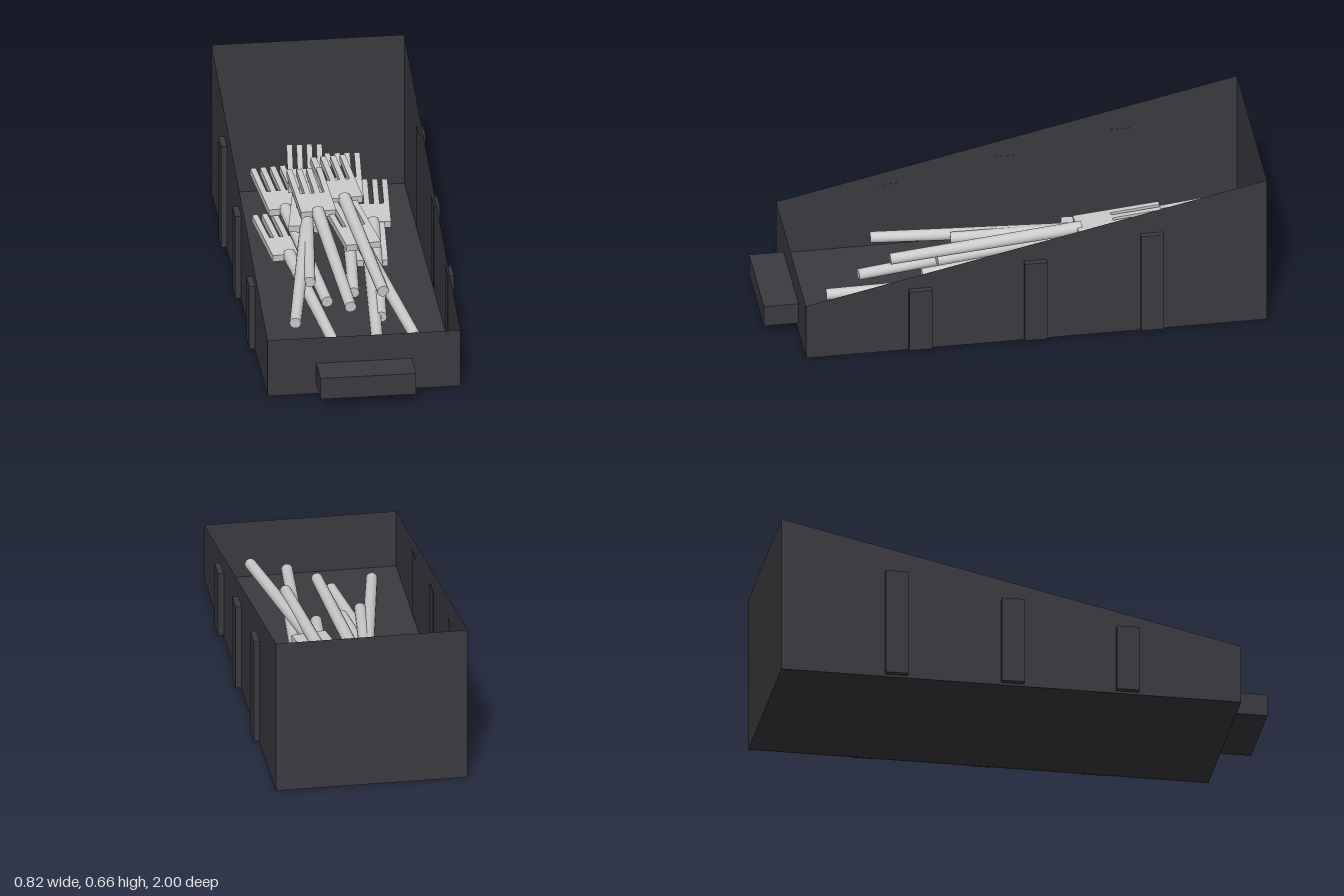
import * as THREE from 'three';

const HALF_W = 0.387, FRONT = 0.86, BACK = -1, FRONT_H = 0.247, BACK_H = 0.66;
const dark = new THREE.MeshStandardMaterial({ color: 0x3b3a40, side: THREE.DoubleSide });
const grey = new THREE.MeshStandardMaterial({ color: 0xcccccc });

function addMesh(parent, name, geometry, material, x = 0, y = 0, z = 0) {
  const mesh = new THREE.Mesh(geometry, material);
  mesh.name = name;
  mesh.position.set(x, y, z);
  parent.add(mesh);
  return mesh;
}

// Fork lying along -z with its handle end at the origin
const HANDLE = 0.76, PALM = 0.15, TINE = 0.2, HEAD_W = 0.142, TINE_W = 0.023, THICK = 0.028;
const handleGeometry = new THREE.CylinderGeometry(0.027, 0.023, HANDLE + 0.02, 16).rotateX(-Math.PI / 2);

function makeHeadGeometry() {
  const shape = new THREE.Shape();
  const pitch = (HEAD_W - TINE_W) / 3;
  shape.moveTo(HEAD_W / 2, 0);
  for (let i = 3; i >= 0; i--) {
    const left = -HEAD_W / 2 + i * pitch;
    shape.lineTo(left + TINE_W, PALM);
    shape.lineTo(left + TINE_W, PALM + TINE);
    shape.lineTo(left, PALM + TINE);
    shape.lineTo(left, PALM);
  }
  shape.lineTo(-HEAD_W / 2, 0);
  return new THREE.ExtrudeGeometry(shape, { depth: THICK, bevelEnabled: false })
    .translate(0, HANDLE, -THICK / 2).rotateX(-Math.PI / 2);
}
const headGeometry = makeHeadGeometry();

function makeFork([x, y, z, lean, rise]) {
  const fork = new THREE.Group();
  fork.name = 'fork';
  addMesh(fork, 'forkHandle', handleGeometry, grey, 0, 0, -(HANDLE + 0.02) / 2);
  addMesh(fork, 'forkHead', headGeometry, grey);
  fork.rotation.order = 'YXZ';
  fork.rotation.set(Math.asin(rise / 1.11), -THREE.MathUtils.degToRad(lean), 0);
  fork.position.set(x, y, z);
  return fork;
}

export function createModel() {
  const model = new THREE.Group();
  model.name = 'forkBin';

  // Open bin of thin sheets: floor, end walls and sloping sides
  const bin = new THREE.Group();
  bin.name = 'bin';
  model.add(bin);
  const floor = new THREE.PlaneGeometry(HALF_W * 2, FRONT - BACK).rotateX(-Math.PI / 2);
  addMesh(bin, 'floor', floor, dark, 0, 0.002, (FRONT + BACK) / 2);
  addMesh(bin, 'frontWall', new THREE.PlaneGeometry(HALF_W * 2, FRONT_H), dark, 0, FRONT_H / 2, FRONT);
  addMesh(bin, 'backWall', new THREE.PlaneGeometry(HALF_W * 2, BACK_H).rotateY(Math.PI), dark, 0, BACK_H / 2, BACK);
  const side = new THREE.Shape([
    new THREE.Vector2(-FRONT, 0), new THREE.Vector2(-BACK, 0),
    new THREE.Vector2(-BACK, BACK_H), new THREE.Vector2(-FRONT, FRONT_H),
  ]);
  const sideGeometry = new THREE.ShapeGeometry(side).rotateY(Math.PI / 2);
  for (const s of [-1, 1]) {
    const name = s > 0 ? 'left' : 'right';
    addMesh(bin, name + 'Wall', sideGeometry, dark, s * HALF_W);
    // Upright ribs, taller towards the back
    for (const [z, top] of [[0.4, 0.287], [-0.065, 0.373], [-0.535, 0.457]]) {
      addMesh(bin, name + 'Rib', new THREE.BoxGeometry(0.025, top - 0.01, 0.092), dark,
        s * (HALF_W + 0.0115), (top + 0.01) / 2, z);
    }
  }
  addMesh(bin, 'pullHandle', new THREE.BoxGeometry(0.385, 0.092, 0.14), dark, 0, 0.088, 0.93);

  // Pile of forks: handle end x, y, z, sideways lean in degrees, rise to the tip
  const pile = [
    [-0.233, 0.142, 0.503, 10.2, 0.07],
    [-0.005, 0.18, 0.46, -2.8, 0.07],
    [0.074, 0.09, 0.73, 4.4, 0.06],
    [0.228, 0.145, 0.693, -9, 0.07],
    [-0.08, 0.07, 0.577, -6.9, 0.05],
    [-0.138, 0.17, 0.196, 5.8, 0.06],
    [-0.075, 0.11, 0.26, -5.5, 0.06],
    [0.138, 0.19, 0.355, -4.6, 0.06],
    [0.122, 0.11, 0.423, 4.5, 0.06],
    [0.037, 0.12, 0.21, 4.5, 0.07],
  ];
  const forks = new THREE.Group();
  forks.name = 'forks';
  for (const placement of pile) forks.add(makeFork(placement));
  model.add(forks);
  return model;
}
